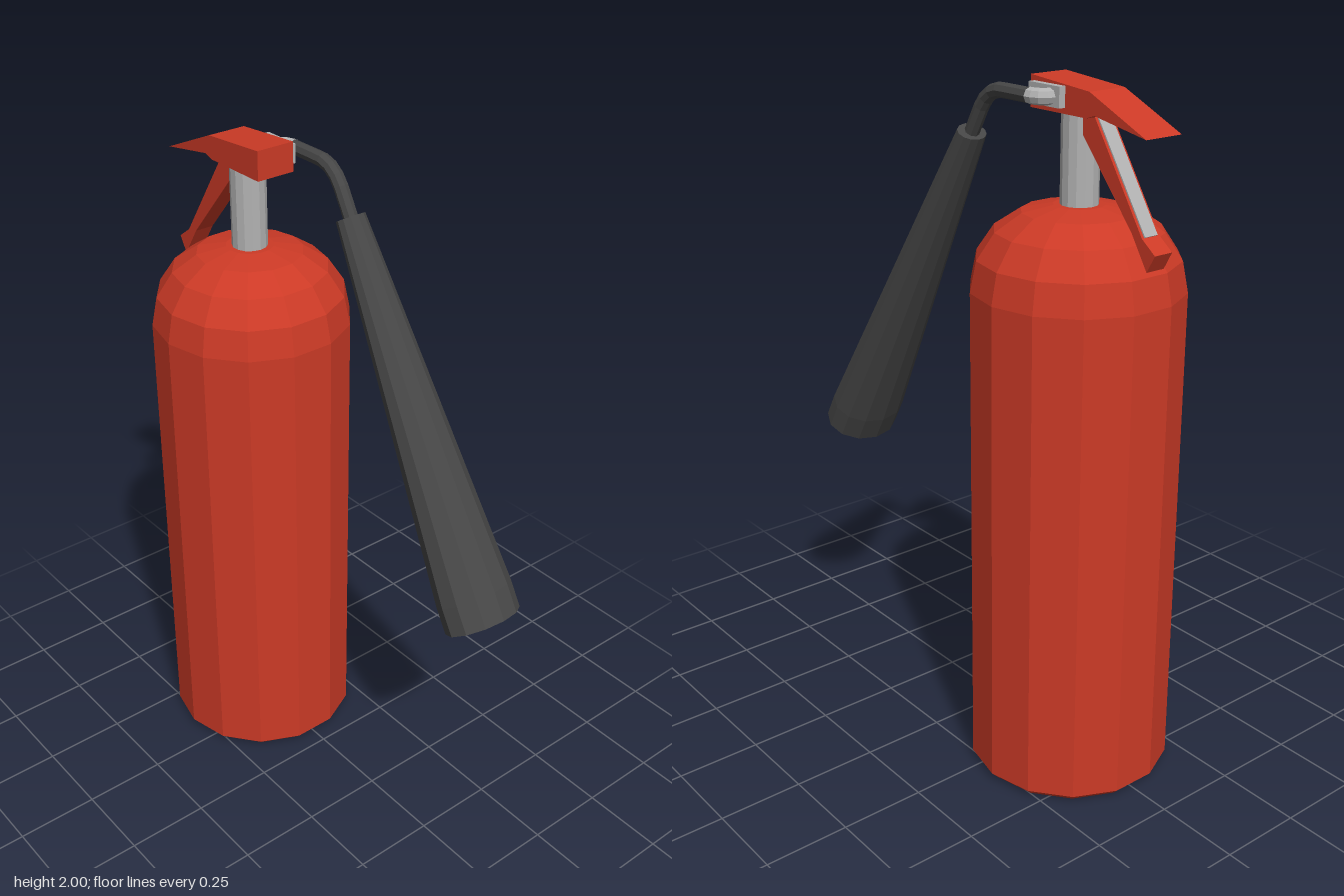
import * as THREE from 'three';

const mat = (name, color) => Object.assign(new THREE.MeshStandardMaterial({ color }), { name });

export function createModel() {
  const model = new THREE.Group();
  const red = mat('red paint', 0xcc3a26);
  const steel = mat('light steel', 0xb2b2b2);
  const rubber = mat('dark rubber', 0x464646);
  const axisZ = -0.335;

  // Faceted mesh with one normal per face
  function add(name, geometry, material, x = 0, y = 0, z = 0) {
    const geo = geometry.index ? geometry.toNonIndexed() : geometry;
    geo.computeVertexNormals();
    const mesh = new THREE.Mesh(geo, material);
    mesh.name = name;
    mesh.position.set(x, y, z);
    model.add(mesh);
    return mesh;
  }
  const lathe = (points, sides) =>
    new THREE.LatheGeometry(points.map(p => new THREE.Vector2(...p)), sides, Math.PI / 2);

  // Side outline given as [z, y], extruded across x and centred
  function sideProfile(points, width) {
    const shape = new THREE.Shape(points.map(p => new THREE.Vector2(...p)));
    return new THREE.ExtrudeGeometry(shape, { depth: width, bevelEnabled: false })
      .translate(0, 0, -width / 2).rotateY(-Math.PI / 2);
  }
  // Thin plate lying on the line a-b, raised to its left side
  function plate(a, b, width) {
    const dz = b[0] - a[0], dy = b[1] - a[1], s = 0.004 / Math.hypot(dz, dy);
    const raise = p => [p[0] - dy * s, p[1] + dz * s];
    return sideProfile([a, b, raise(b), raise(a)], width);
  }

  // Tank with chamfered foot and domed shoulder
  const tank = [[0, 0], [0.275, 0], [0.295, 0.02]];
  for (let i = 0; i <= 4; i++) {
    const a = i * Math.PI / 8;
    tank.push([0.07 + 0.225 * Math.cos(a), 1.45 + 0.225 * Math.sin(a)]);
  }
  tank.push([0, 1.675]);
  add('tank', lathe(tank, 14), red, 0, 0, axisZ);

  // Valve neck
  add('neck', new THREE.CylinderGeometry(0.052, 0.052, 0.27, 14), steel, 0, 1.795, axisZ);

  // Carrying handle and squeeze lever with steel inlays
  add('carryHandle', sideProfile([
    [-0.205, 1.915], [-0.205, 2], [-0.43, 1.982], [-0.635, 1.893], [-0.45, 1.925], [-0.42, 1.915],
  ], 0.12), red);
  add('handleInlay', plate([-0.455, 1.924], [-0.615, 1.8965], 0.08), steel);
  add('squeezeLever', sideProfile([
    [-0.374, 1.92], [-0.416, 1.92], [-0.602, 1.64], [-0.65, 1.605], [-0.623, 1.557],
    [-0.565, 1.647], [-0.376, 1.865],
  ], 0.06), red);
  add('leverInlay', plate([-0.602, 1.64], [-0.418, 1.917], 0.044), steel);

  // Side outlet: plate and elbow
  add('outletPlate', new THREE.BoxGeometry(0.02, 0.055, 0.12), steel, 0.07, 1.958, -0.28);
  const v = (x, y, z) => new THREE.Vector3(x, y, z);
  const elbow = new THREE.QuadraticBezierCurve3(
    v(0.075, 1.957, -0.305), v(0.11, 1.957, -0.305), v(0.11, 1.957, -0.262));
  add('elbow', new THREE.TubeGeometry(elbow, 4, 0.022, 8), steel);

  // Hose bending down to the horn
  const hose = new THREE.CurvePath();
  const bend = v(0.11, 1.957, -0.15), drop = v(0.11, 1.9, -0.06);
  hose.add(new THREE.LineCurve3(v(0.11, 1.957, -0.266), bend));
  hose.add(new THREE.QuadraticBezierCurve3(bend, v(0.11, 1.957, -0.094), drop));
  hose.add(new THREE.LineCurve3(drop, v(0.11, 1.82, -0.014)));
  add('hose', new THREE.TubeGeometry(hose, 10, 0.021, 8), rubber);

  // Flattened discharge horn with a straight lip
  const horn = add('horn', lathe([
    [0, 0], [0.12, 0], [0.12, 0.085], [0.045, 1.178], [0, 1.178],
  ], 12), rubber, 0.11, 0.815, 0.578);
  horn.scale.z = 0.78;
  horn.rotation.x = -0.532;

  return model;
}
